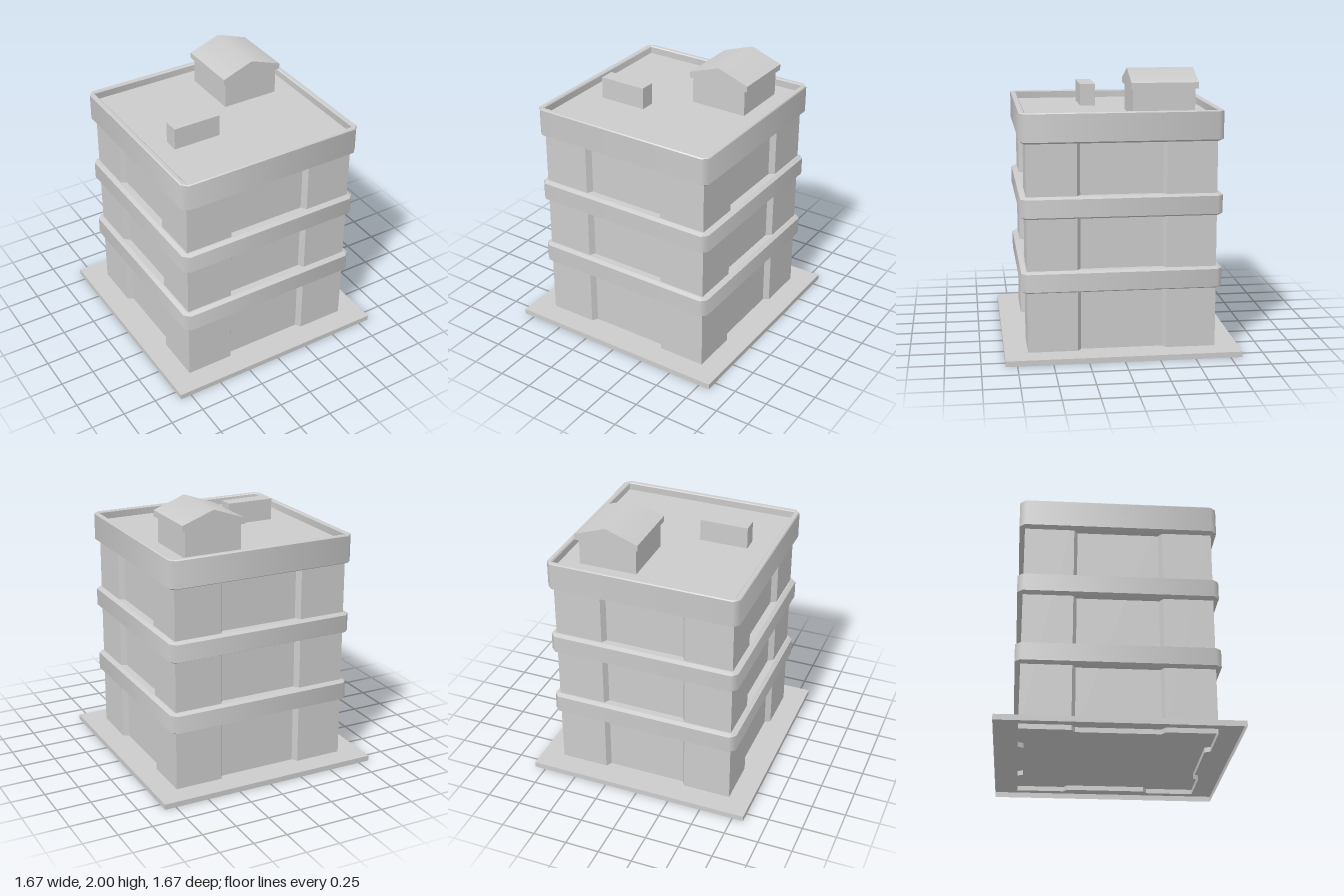
import * as THREE from 'three';

const material = new THREE.MeshStandardMaterial({ color: 0xcccccc, side: THREE.DoubleSide });
const WALL = 0.667;
const GROUND = 0.833;
const DECK = 1.68;

function add(group, name, geometry) {
  const mesh = new THREE.Mesh(geometry, material);
  mesh.name = name;
  group.add(mesh);
  return mesh;
}

function box(group, name, x0, x1, y0, y1, z0, z1) {
  const mesh = add(group, name, new THREE.BoxGeometry(x1 - x0, y1 - y0, z1 - z0));
  mesh.position.set((x0 + x1) / 2, (y0 + y1) / 2, (z0 + z1) / 2);
}

// Square with cut corners, counter-clockwise seen from above
function ring(s, y) {
  const k = s - Math.max(s - WALL, 0.004);
  return [[s, k], [s, -k], [k, -s], [-k, -s], [-s, -k], [-s, k], [-k, s], [k, s]]
    .map(([x, z]) => [x, y, z]);
}

// Sweep a [halfWidth, y] profile, listed bottom to top, around the building.
// Corners are shaded round, profile edges stay sharp.
function bandGeometry(profile) {
  const pos = [], nor = [];
  for (let i = 0; i < profile.length - 1; i++) {
    const [s0, y0] = profile[i], [s1, y1] = profile[i + 1];
    const length = Math.hypot(s1 - s0, y1 - y0);
    const out = (y1 - y0) / length, up = (s0 - s1) / length;
    const low = ring(s0, y0), high = ring(s1, y1);
    for (let j = 0; j < 8; j++) {
      const n = (j + 1) % 8;
      pos.push(...low[j], ...low[n], ...high[n], ...low[j], ...high[n], ...high[j]);
      for (const v of [j, n, n, j, n, j]) {
        const angle = Math.PI / 8 - v * Math.PI / 4;
        nor.push(out * Math.cos(angle), up, out * Math.sin(angle));
      }
    }
  }
  const geometry = new THREE.BufferGeometry();
  geometry.setAttribute('position', new THREE.Float32BufferAttribute(pos, 3));
  geometry.setAttribute('normal', new THREE.Float32BufferAttribute(nor, 3));
  return geometry;
}

// Open upright sheet: one side's [outward, along] points repeated on all four sides
function sheetGeometry(side, y0, y1) {
  const points = [];
  for (let i = 0; i < 4; i++) {
    for (const [x, y] of side) {
      points.push(new THREE.Vector2(x, y).rotateAround(new THREE.Vector2(), i * Math.PI / 2));
    }
  }
  const pos = [];
  points.forEach((a, i) => {
    const b = points[(i + 1) % points.length];
    pos.push(a.x, y0, -a.y, b.x, y0, -b.y, b.x, y1, -b.y);
    pos.push(a.x, y0, -a.y, b.x, y1, -b.y, a.x, y1, -a.y);
  });
  const geometry = new THREE.BufferGeometry();
  geometry.setAttribute('position', new THREE.Float32BufferAttribute(pos, 3));
  geometry.computeVertexNormals();
  return geometry;
}

// Low gable, shaded smoothly over the ridge
function gableGeometry(x0, x1, y0, eave, ridge, depth) {
  const middle = (x0 + x1) / 2;
  const shape = new THREE.Shape([[x0, y0], [x1, y0], [x1, eave], [middle, ridge], [x0, eave]]
    .map(([x, y]) => new THREE.Vector2(x, y)));
  const geometry = new THREE.ExtrudeGeometry(shape, { depth, bevelEnabled: false });
  const { position, normal } = geometry.attributes;
  for (let i = 0; i < position.count; i++) {
    if (normal.getY(i) > 0.2 && position.getY(i) > eave + 0.01) normal.setXYZ(i, 0, 1, 0);
  }
  return geometry;
}

export function createModel() {
  const model = new THREE.Group();
  model.name = 'building';

  // Ground slab: a top sheet with a skirt, open underneath
  const slab = new THREE.Group();
  slab.name = 'groundSlab';
  const top = new THREE.PlaneGeometry(GROUND * 2, GROUND * 2).rotateX(-Math.PI / 2);
  add(slab, 'slabTop', top).position.y = 0.04;
  add(slab, 'slabSkirt', sheetGeometry([[GROUND, -GROUND]], 0, 0.04));
  model.add(slab);

  // Walls with a shallow splayed recess in every side, reaching below the slab top
  const back = WALL - 0.04;
  add(model, 'walls', sheetGeometry(
    [[WALL, -WALL], [WALL, -0.315], [back, -0.29], [back, 0.29], [WALL, 0.315]], 0.005, DECK - 0.02));

  // Floor bands
  for (const y of [0.472, 0.998]) {
    add(model, 'floorBand', bandGeometry([
      [0.62, y], [0.677, y], [0.707, y + 0.014], [0.707, y + 0.142], [0.677, y + 0.156], [0.62, y + 0.156],
    ]));
  }

  // Parapet and roof deck
  add(model, 'parapet', bandGeometry([
    [0.62, 1.522], [0.677, 1.522], [0.707, 1.536], [0.707, 1.73], [0.7, 1.737],
    [0.675, 1.737], [0.667, 1.73], [0.667, DECK - 0.01],
  ]));
  box(model, 'roofDeck', -WALL, WALL, DECK - 0.02, DECK, -WALL, WALL);

  // Rooftop box
  box(model, 'ventBox', -0.492, -0.135, DECK, 1.84, 0.098, 0.211);

  // Rooftop hut with a gabled roof
  const hut = new THREE.Group();
  hut.name = 'roofHut';
  box(hut, 'hutWalls', 0.095, 0.521, DECK, 1.875, -0.531, -0.09);
  add(hut, 'hutRoof', gableGeometry(0.075, 0.547, 1.872, 1.915, 2, 0.473)).position.z = -0.55;
  model.add(hut);

  return model;
}
